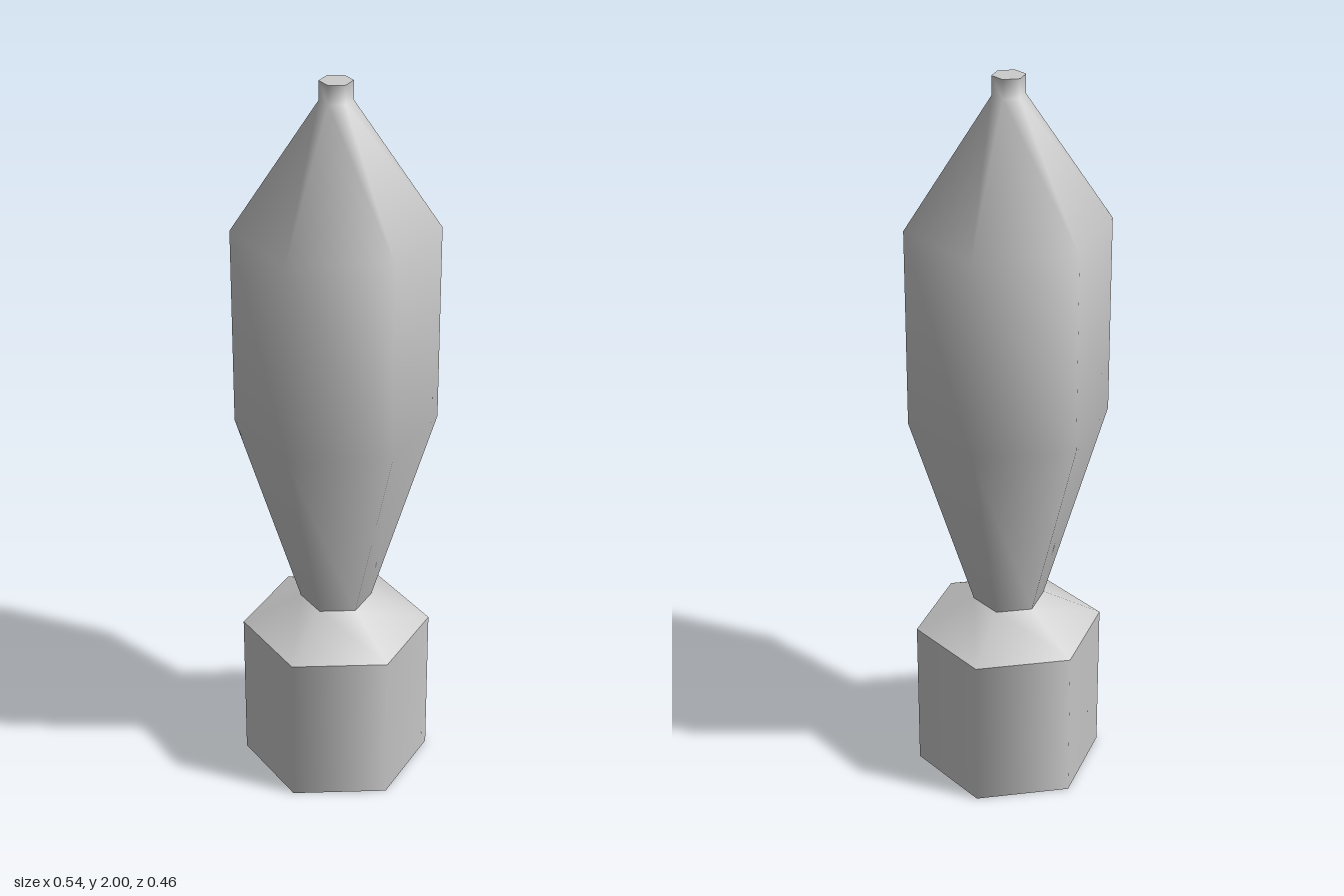
import * as THREE from 'three';

const SIDES = 6;

// Six-sided turned section; the profile runs upward as [radius, height] pairs
function section(name, profile, material) {
  const points = profile.map(([r, y]) => new THREE.Vector2(r, y));
  const mesh = new THREE.Mesh(new THREE.LatheGeometry(points, SIDES, Math.PI / 6), material);
  mesh.name = name;
  return mesh;
}

// Flat hexagonal cap facing up or down
function cap(name, radius, y, up, material) {
  const mesh = new THREE.Mesh(new THREE.CircleGeometry(radius, SIDES), material);
  mesh.rotation.x = up ? -Math.PI / 2 : Math.PI / 2;
  mesh.position.y = y;
  mesh.name = name;
  return mesh;
}

export function createModel() {
  const group = new THREE.Group();
  group.name = 'bomb';
  const material = new THREE.MeshStandardMaterial({ color: 0xcccccc });

  group.add(
    // Tail drum with its sloped shoulder
    cap('tailBottom', 0.258, 0, false, material),
    section('tailDrum', [[0.258, 0], [0.258, 0.43]], material),
    section('tailShoulder', [[0.258, 0.43], [0.098, 0.515]], material),
    // Body swelling from the neck, tapering to the nose fuse
    section('body', [[0.098, 0.515], [0.268, 1.07], [0.268, 1.61], [0.043, 1.95], [0.043, 2]], material),
    cap('noseCap', 0.043, 2, true, material),
  );
  return group;
}
